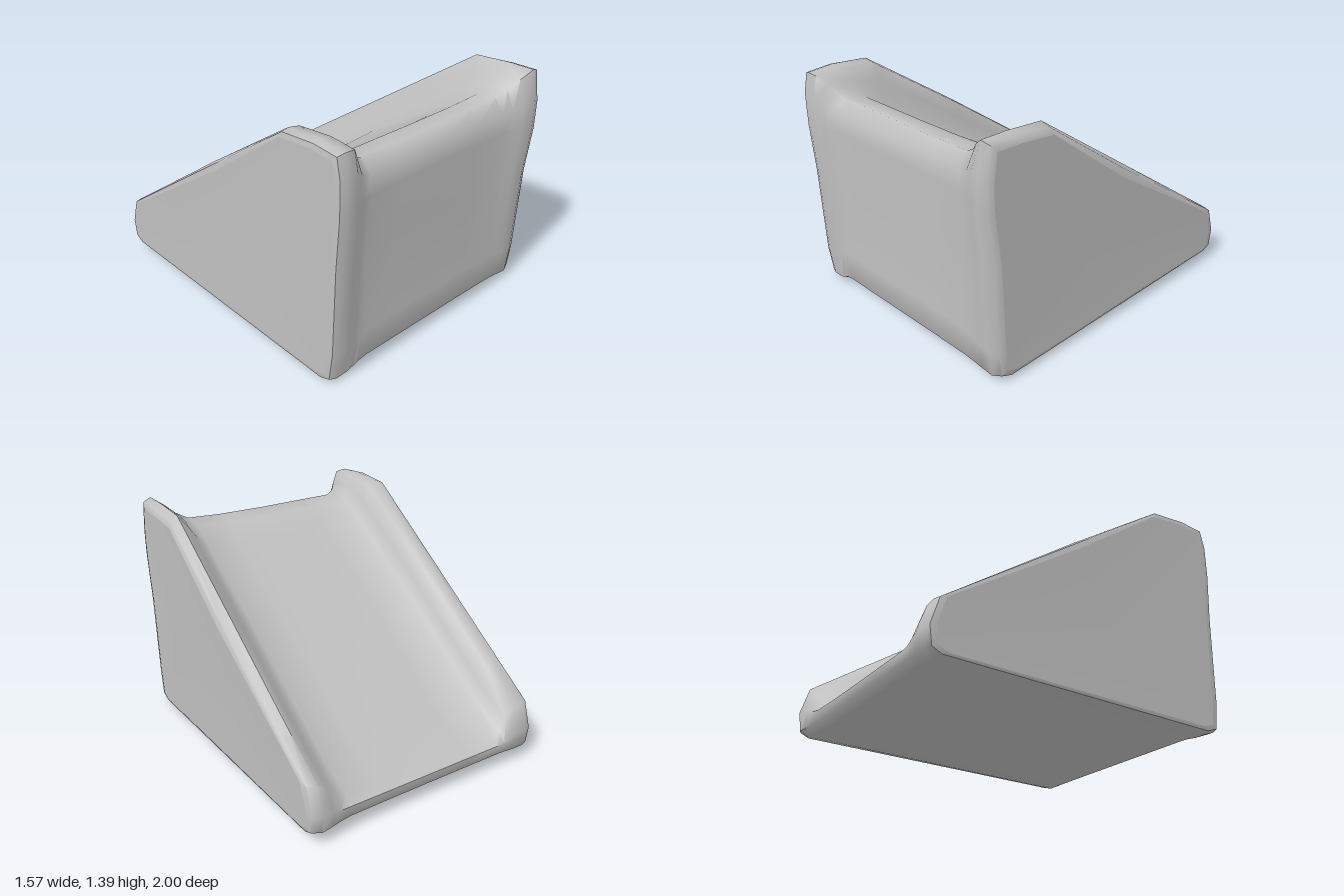
import * as THREE from 'three';
import { toCreasedNormals } from 'three/addons/utils/BufferGeometryUtils.js';

// Matching [z, y] outlines, from the front foot up, over the crest and down the slope
const LEFT_WALL = [
  [0.85, 0.015], [0.92, 0.045], [0.94, 0.2], [0.965, 0.75], [0.995, 1.05],
  [0.995, 1.22], [0.965, 1.4], [0.8, 1.4], [0.57, 1.385], [-0.05, 0.967],
  [-0.7, 0.529], [-0.95, 0.36], [-1.0, 0.2], [-0.985, 0.09], [-0.93, 0.065],
];
const RIGHT_WALL = [
  [0.85, 0.005], [0.92, 0.03], [0.945, 0.2], [0.965, 0.75], [0.985, 1.05],
  [0.985, 1.25], [0.96, 1.37], [0.8, 1.385], [0.57, 1.37], [-0.05, 0.96],
  [-0.68, 0.525], [-0.92, 0.36], [-0.97, 0.2], [-0.955, 0.09], [-0.9, 0.06],
];
const RAMP = [
  [0.88, 0.03], [0.935, 0.085], [0.93, 0.25], [0.915, 0.75], [0.93, 1.06],
  [0.925, 1.17], [0.86, 1.24], [0.73, 1.22], [0.59, 1.125], [-0.05, 0.725],
  [-0.7, 0.285], [-0.9, 0.19], [-0.96, 0.16], [-0.955, 0.1], [-0.9, 0.065],
];

// Stations across the width: x, wall outline, its share against the ramp, inset
const STATIONS = [
  [-0.785, RIGHT_WALL, 1, 0.05], [-0.78, RIGHT_WALL, 1, 0.015], [-0.74, RIGHT_WALL, 1, 0],
  [-0.67, RIGHT_WALL, 0.95, 0], [-0.62, RIGHT_WALL, 0.55, 0], [-0.58, RIGHT_WALL, 0.18, 0],
  [-0.53, RIGHT_WALL, 0, 0], [-0.3, RIGHT_WALL, 0, 0],
  [0, LEFT_WALL, 0, 0], [0.3, LEFT_WALL, 0.03, 0], [0.52, LEFT_WALL, 0.1, 0],
  [0.59, LEFT_WALL, 0.34, 0], [0.65, LEFT_WALL, 0.68, 0], [0.72, LEFT_WALL, 1, 0],
  [0.775, LEFT_WALL, 1, 0.025], [0.785, LEFT_WALL, 1, 0.07],
];

const CENTRE = [0.2, 0.5];

function section([x, wall, share, inset]) {
  return wall.map((w, j) => {
    const z = THREE.MathUtils.lerp(RAMP[j][0], w[0], share);
    const y = THREE.MathUtils.lerp(RAMP[j][1], w[1], share);
    const dz = CENTRE[0] - z, dy = CENTRE[1] - y, d = Math.hypot(dz, dy);
    return [x, y + (dy / d) * inset, z + (dz / d) * inset];
  });
}

function creased(positions, index) {
  const g = new THREE.BufferGeometry();
  g.setAttribute('position', new THREE.Float32BufferAttribute(positions, 3));
  g.setIndex(index);
  return toCreasedNormals(g, 1.0);
}

// Skin over the sections
function skinGeometry(rings) {
  const n = RAMP.length;
  const index = [];
  for (let i = 0; i < rings.length - 1; i++) {
    for (let j = 0; j < n; j++) {
      const a = i * n + j, b = i * n + (j + 1) % n;
      index.push(a, a + n, b + n, a, b + n, b);
    }
  }
  return creased(rings.flat(2), index);
}

// Side face, slightly hollow, facing +x when side is 1 and -x when it is -1
function sideGeometry(ring, side) {
  const n = ring.length;
  const index = [];
  for (let j = 0; j < n; j++) {
    const k = (j + 1) % n;
    index.push(n, side > 0 ? k : j, side > 0 ? j : k);
  }
  return creased([...ring.flat(), side * 0.775, CENTRE[1], CENTRE[0]], index);
}

export function createModel() {
  const grey = new THREE.MeshStandardMaterial({ color: 0xc0c0c0 });
  grey.name = 'grey';
  const group = new THREE.Group();
  group.name = 'ramp';
  const add = (name, geometry) => {
    const mesh = new THREE.Mesh(geometry, grey);
    mesh.name = name;
    group.add(mesh);
  };
  const rings = STATIONS.map(section);
  add('walledWedge', skinGeometry(rings));
  add('rightSide', sideGeometry(rings[0], -1));
  add('leftSide', sideGeometry(rings[rings.length - 1], 1));
  return group;
}
